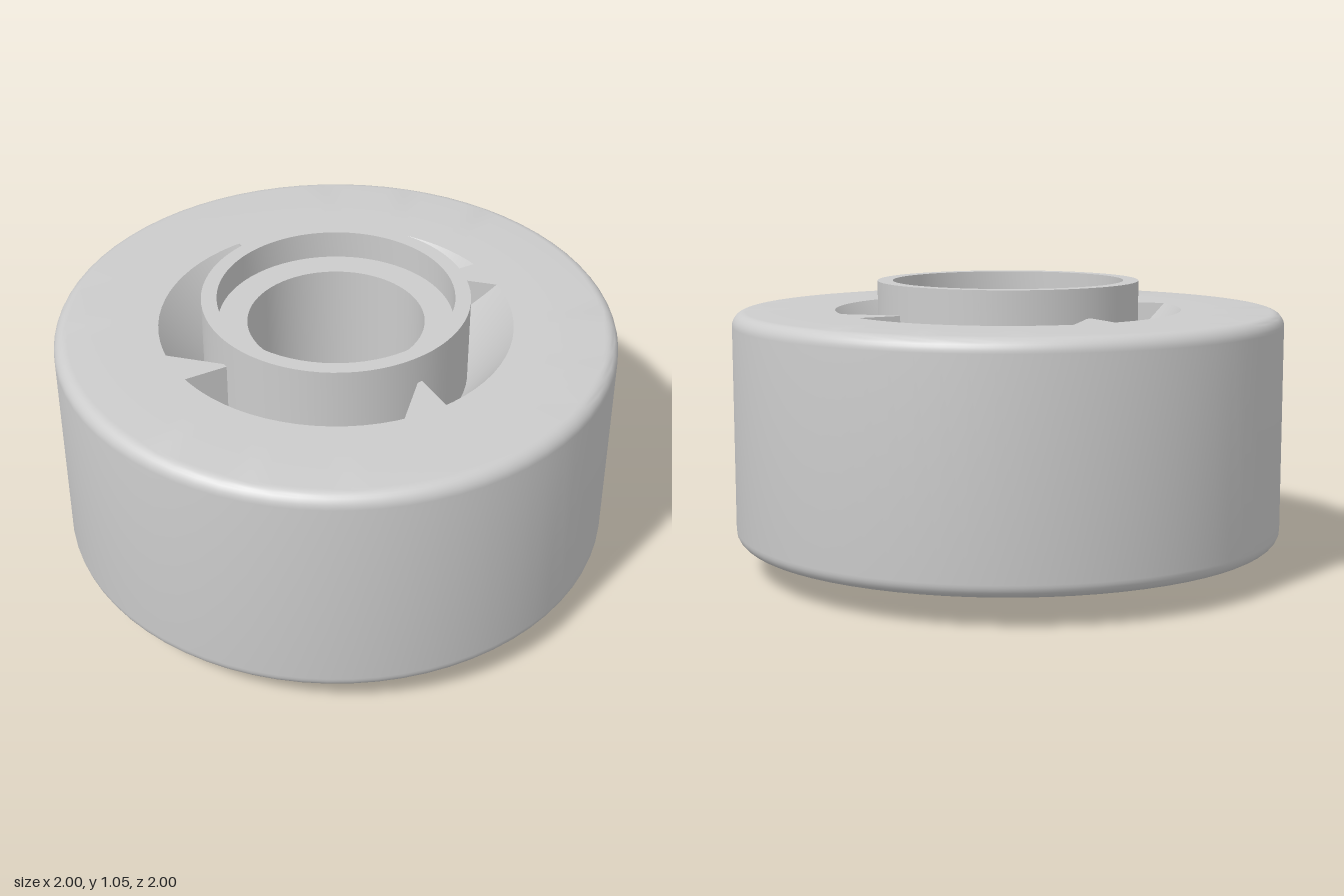
import * as THREE from 'three';
import { toCreasedNormals } from 'three/addons/utils/BufferGeometryUtils.js';

const SEGMENTS = 72;
const BOTTOM = 0.105, TOP = 0.945, HEIGHT = 1.05;
const HUB_R = 0.475, POCKET_R = 0.63, SEAM_R = 0.735, POCKET_DEPTH = 0.22;

export function createModel() {
  const model = new THREE.Group();
  model.name = 'rollerWheel';
  const material = new THREE.MeshStandardMaterial({ color: 0xcccccc });

  function add(name, geometry) {
    const mesh = new THREE.Mesh(geometry, material);
    mesh.name = name;
    model.add(mesh);
    return mesh;
  }

  // Revolve a profile of [radius, height] points, keeping its corners sharp
  function revolve(name, profile) {
    const points = profile.map(([r, y]) => new THREE.Vector2(r, y));
    return add(name, toCreasedNormals(new THREE.LatheGeometry(points, SEGMENTS), 0.6));
  }

  // Tyre with rounded outer edges
  const fillet = 0.05, tyre = [[SEAM_R, BOTTOM]];
  for (const [cy, start] of [[BOTTOM + fillet, -Math.PI / 2], [TOP - fillet, 0]]) {
    for (let i = 0; i <= 8; i++) {
      const a = start + (i / 8) * Math.PI / 2;
      tyre.push([1 - fillet + fillet * Math.cos(a), cy + fillet * Math.sin(a)]);
    }
  }
  tyre.push([SEAM_R, TOP]);
  revolve('tyre', tyre);

  // Flat rim plates sloping down into the pockets round the hub
  revolve('lowerRim', [[HUB_R, BOTTOM + POCKET_DEPTH], [POCKET_R, BOTTOM], [SEAM_R, BOTTOM]]);
  revolve('upperRim', [[SEAM_R, TOP], [POCKET_R, TOP], [HUB_R, TOP - POCKET_DEPTH]]);

  // Hub tube with a bearing recess at each end and a through bore
  revolve('hub', [
    [0.315, BOTTOM], [0.42, BOTTOM], [0.42, 0], [HUB_R, 0], [HUB_R, HEIGHT],
    [0.42, HEIGHT], [0.42, TOP], [0.315, TOP], [0.315, BOTTOM],
  ]);

  // Four spokes on each face, dividing the pockets
  const half = 0.08, angle = Math.asin(half / POCKET_R);
  const outline = new THREE.Shape();
  outline.moveTo(HUB_R - 0.025, -half);
  outline.absarc(0, 0, POCKET_R, -angle, angle, false);
  outline.lineTo(HUB_R - 0.025, half);
  outline.closePath();
  const spokeGeometry = new THREE.ExtrudeGeometry(outline, {
    depth: POCKET_DEPTH, bevelEnabled: false, curveSegments: 4,
  });
  spokeGeometry.rotateX(-Math.PI / 2);
  for (const [name, y] of [['lowerSpoke', BOTTOM], ['upperSpoke', TOP - POCKET_DEPTH]]) {
    for (let i = 0; i < 4; i++) {
      const spoke = add(name + (i + 1), spokeGeometry);
      spoke.position.y = y;
      spoke.rotation.y = i * Math.PI / 2;
    }
  }

  return model;
}
